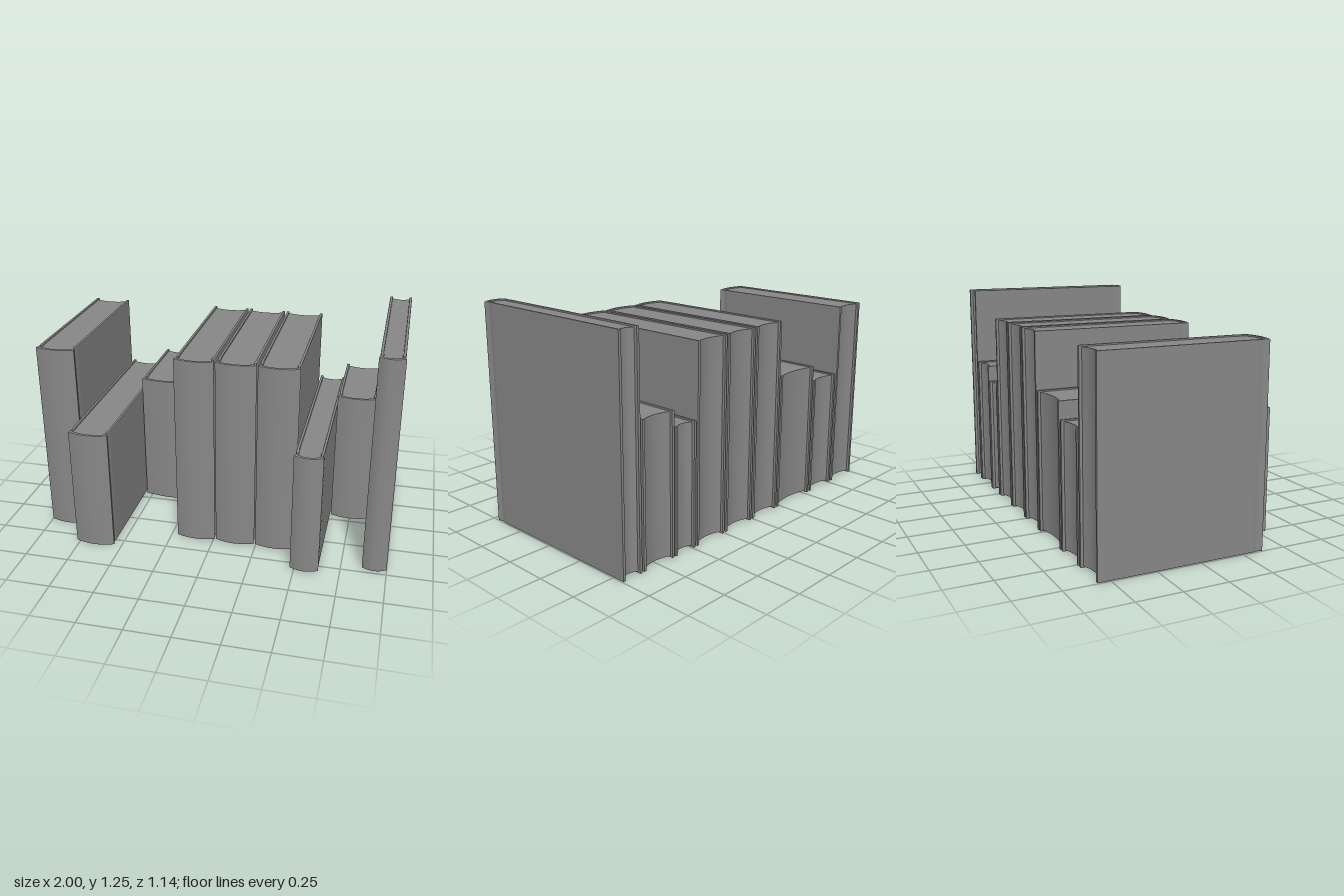
import * as THREE from 'three';
import { toCreasedNormals } from 'three/addons/utils/BufferGeometryUtils.js';

const BACK = -0.571;   // shared rear plane of the row
const BOARD = 0.015;   // cover thickness
const RISE = 0.023;    // bulge of the spine
const BEVEL = 0.004;

// [left edge, right edge, height, front of spine]
const BOOKS = [
  [-1.0, -0.778, 1.107, 0.388],
  [-0.77, -0.545, 0.7, 0.572],
  [-0.538, -0.22, 0.792, -0.031],
  [-0.215, 0.008, 1.107, 0.388],
  [0.014, 0.24, 1.107, 0.388],
  [0.246, 0.472, 1.107, 0.388],
  [0.476, 0.634, 0.7, 0.569],
  [0.636, 0.86, 0.792, -0.031],
  [0.865, 1.0, 1.245, 0.48],
];

// Points of a shallow arc from -w to +w, bulging by RISE at the middle
function arc(w, z, n = 14) {
  return Array.from({ length: n + 1 }, (_, i) => {
    const t = (i / n) * 2 - 1;
    return [t * w, z + RISE * (1 - t * t)];
  });
}

// Extrudes an (x, z) plan upwards from y0 to y1
function upright(plan, y0, y1, bevel) {
  const shape = new THREE.Shape(plan.map(([x, z]) => new THREE.Vector2(x, -z)));
  const geo = new THREE.ExtrudeGeometry(shape, {
    depth: y1 - y0 - 2 * bevel,
    bevelEnabled: bevel > 0,
    bevelThickness: bevel,
    bevelSize: bevel,
    bevelOffset: -bevel,
    bevelSegments: 2,
  });
  geo.rotateX(-Math.PI / 2);
  geo.translate(0, y0 + bevel, 0);
  return toCreasedNormals(geo, 0.3);
}

// One side of the cover, back to front: flat board, soft hinge, flare to the spine
function side(w, edge) {
  const hinge = new THREE.SplineCurve([
    [w - 0.004, edge - 0.07],
    [w - 0.005, edge - 0.05],
    [w - 0.008, edge - 0.033],
    [w - 0.004, edge - 0.015],
    [w, edge],
  ].map(([x, z]) => new THREE.Vector2(x, z)));
  const pts = hinge.getPoints(12).slice(0, -1).map((p) => [p.x, p.y]);
  return [[w - 0.004, BACK], ...pts];
}

const mirror = (pts) => pts.map(([x, z]) => [-x, z]);

function makeBook([x0, x1, height, front], material) {
  const book = new THREE.Group();
  book.name = 'book';
  book.position.x = (x0 + x1) / 2;
  const w = (x1 - x0) / 2;
  const wi = w - BOARD;
  const edge = front - RISE;

  // Cover: two boards and a rounded spine as one U-shaped plan
  const half = side(w, edge);
  const innerHalf = side(wi, edge - 0.018);
  const plan = [
    ...mirror(half),
    ...arc(w, edge),
    ...half.reverse(),
    ...innerHalf,
    ...arc(wi, edge - 0.018).reverse(),
    ...mirror(innerHalf).reverse(),
  ];
  const cover = new THREE.Mesh(upright(plan, 0, height, BEVEL), material);
  cover.name = 'cover';

  // Page block: hollow fore edge at the rear, rounded towards the spine
  const wp = wi + 0.001;
  const pagePlan = [...arc(wp, BACK + 0.013), ...arc(wp, edge - 0.016).reverse()];
  const pages = new THREE.Mesh(upright(pagePlan, 0.008, height - 0.008, 0), material);
  pages.name = 'pages';

  book.add(cover, pages);
  return book;
}

export function createModel() {
  const model = new THREE.Group();
  model.name = 'bookRow';
  const material = new THREE.MeshStandardMaterial({ color: 0x888888 });
  for (const spec of BOOKS) model.add(makeBook(spec, material));
  return model;
}
